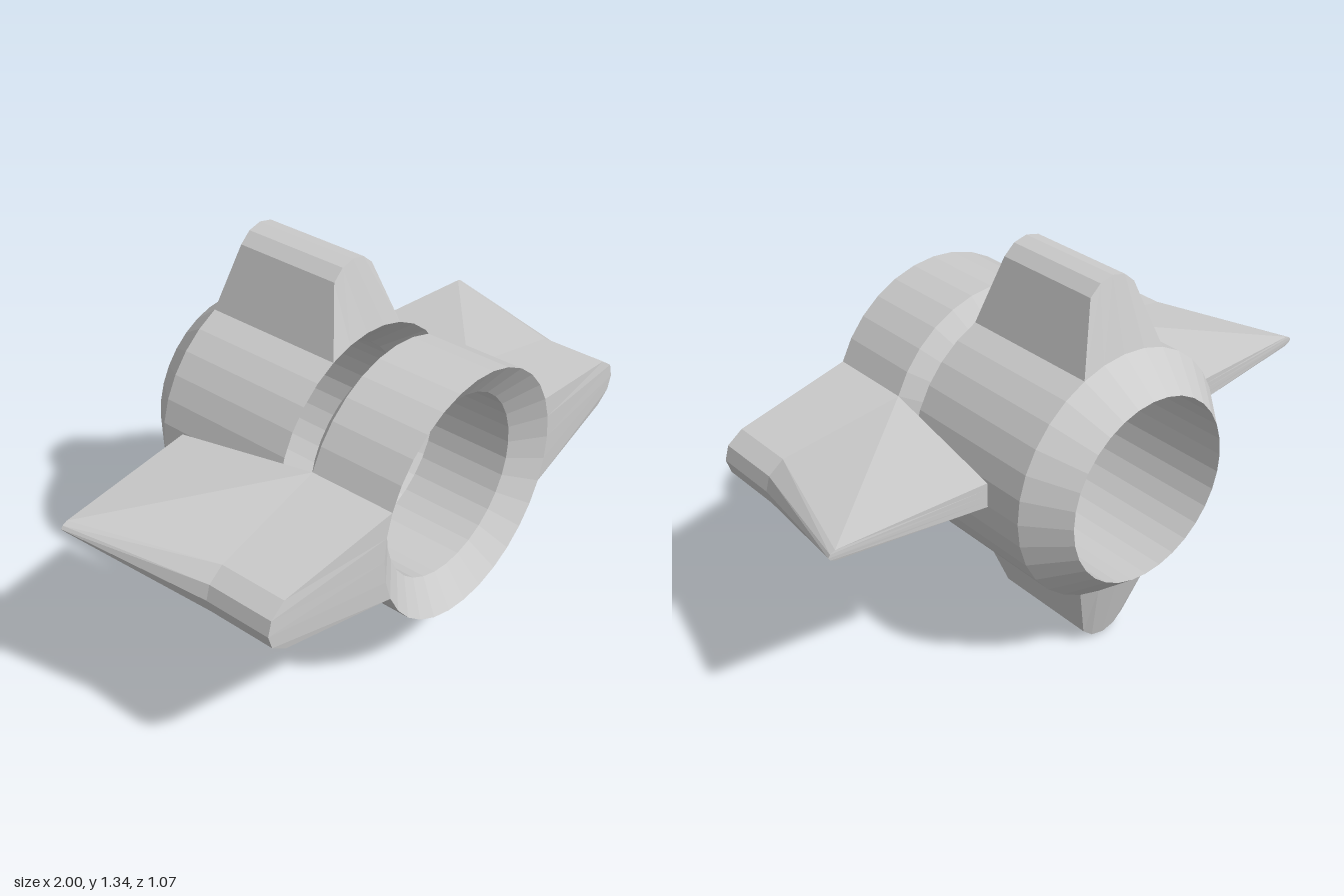
import * as THREE from 'three';

const CENTRE_Y = 0.677, R_OUT = 0.43, R_IN = 0.32, SIDES = 32;
const material = new THREE.MeshStandardMaterial({ color: 0xcccccc, flatShading: true });

// Tube along z with a funnel mouth in front and a matching cone behind
function ring(name, front, back, slant) {
  const profile = [
    [R_IN, back], [R_OUT, back + slant], [R_OUT, front], [R_IN, front - slant], [R_IN, back],
  ].map(([r, z]) => new THREE.Vector2(r, z));
  const geometry = new THREE.LatheGeometry(profile, SIDES).rotateX(Math.PI / 2);
  const mesh = new THREE.Mesh(geometry, material);
  mesh.name = name;
  return mesh;
}

// Five root points that lie on the ring surface, five tip points round the fin edge
const arcRoot = (z) => [-2, -1, 0, 1, 2].map((i) => {
  const a = (i * 2 * Math.PI) / SIDES;
  return [R_OUT * Math.cos(a), R_OUT * Math.sin(a), z];
});
const tip = (xs, y0, ys, z) => [-2, -1, 0, 1, 2].map((i) =>
  [xs[Math.abs(i)], y0 + Math.sign(i) * ys[Math.abs(i)], z]);

// Solid fin pointing along +x, lofted through stations ordered front to back
function fin(name, stations, mirror = 1) {
  const positions = [];
  const tri = (a, b, c) => {
    const order = mirror > 0 ? [a, b, c] : [a, c, b];
    order.forEach(([x, y, z]) => positions.push(x * mirror, y, z));
  };
  const quad = (a, b, c, d) => { tri(a, b, c); tri(a, c, d); };
  const loops = stations.map((s) => [...s.root, ...[...s.tip].reverse()]);
  for (let s = 0; s < loops.length - 1; s++) {
    const f = loops[s], b = loops[s + 1];
    for (let k = 0; k < f.length; k++) {
      const n = (k + 1) % f.length;
      quad(f[k], f[n], b[n], b[k]);
    }
  }
  // End caps
  const first = stations[0], last = stations[stations.length - 1];
  for (let i = 0; i < 4; i++) {
    quad(first.root[i], first.tip[i], first.tip[i + 1], first.root[i + 1]);
    quad(last.root[i], last.root[i + 1], last.tip[i + 1], last.tip[i]);
  }
  const geometry = new THREE.BufferGeometry();
  geometry.setAttribute('position', new THREE.Float32BufferAttribute(positions, 3));
  geometry.computeVertexNormals();
  const mesh = new THREE.Mesh(geometry, material);
  mesh.name = name;
  return mesh;
}

export function createModel() {
  const model = new THREE.Group();
  model.name = 'finnedRings';

  model.add(ring('frontRing', 0.535, 0.145, 0.08));
  model.add(ring('rearRing', 0.11, -0.53, 0.13));

  // Short fins above and below the rear ring
  const tipX = [0.672, 0.66, 0.625], tipY = [0, 0.05, 0.09];
  const shortFin = [[0.11, 0.05], [-0.4, -0.34]].map(([rootZ, tipZ]) => ({
    root: arcRoot(rootZ), tip: tip(tipX, 0, tipY, tipZ),
  }));
  for (const [name, turn] of [['topFin', 1], ['bottomFin', -1]]) {
    const mesh = fin(name, shortFin);
    mesh.rotation.z = (turn * Math.PI) / 2;
    model.add(mesh);
  }

  // Long side fins on the front ring, sweeping back to a thin raised tip
  const wideX = [0.895, 0.88, 0.825], wideY = [0, 0.05, 0.09];
  const sideFin = [
    { root: arcRoot(0.535), tip: tip(wideX, 0, wideY, 0.495) },
    { root: arcRoot(0.225), tip: tip(wideX, 0, wideY, 0.255) },
    {
      root: tip([0.45, 0.45, 0.45], 0.061, [0, 0.021, 0.043], -0.285),
      tip: tip([1, 0.993, 0.975], 0.069, [0, 0.01, 0.018], -0.243),
    },
  ];
  model.add(fin('leftFin', sideFin), fin('rightFin', sideFin, -1));

  model.children.forEach((part) => { part.position.y = CENTRE_Y; });
  return model;
}
